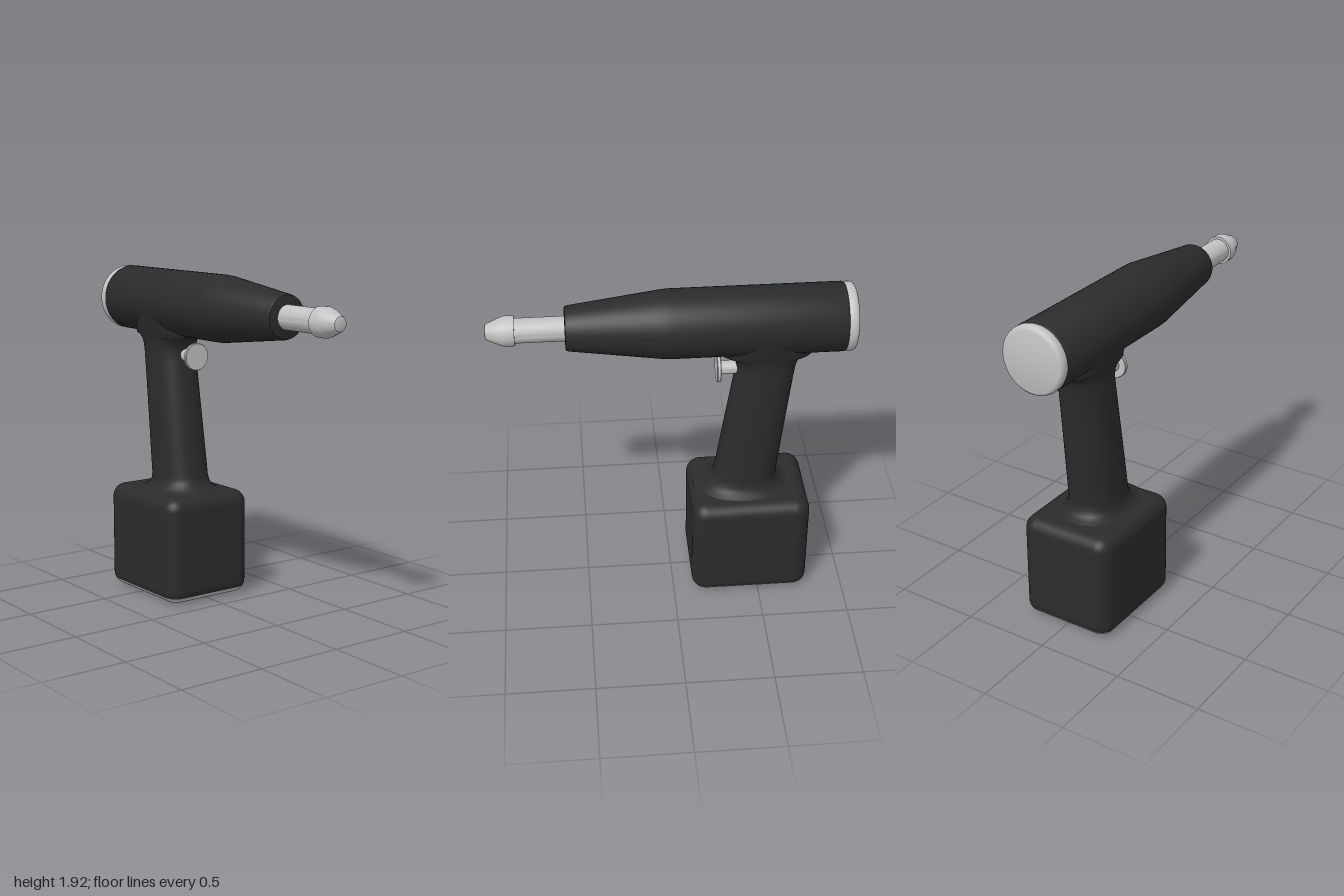
import * as THREE from 'three';
import { toCreasedNormals } from 'three/addons/utils/BufferGeometryUtils.js';

const dark = new THREE.MeshStandardMaterial({ color: 0x2b2b2b });
dark.name = 'charcoal';
const light = new THREE.MeshStandardMaterial({ color: 0xc2c2c2 });
light.name = 'lightGrey';

const AXIS_Y = 1.725;

// Turned part along x; profile is a list of [x, radius]
function turned(name, profile, y, material) {
  const points = profile.map(([x, r]) => new THREE.Vector2(r, x));
  const geometry = toCreasedNormals(new THREE.LatheGeometry(points, 48), 0.6);
  geometry.rotateZ(-Math.PI / 2);
  const mesh = new THREE.Mesh(geometry, material);
  mesh.name = name;
  mesh.position.y = y;
  return mesh;
}

// Smooth skin through rings from bottom to top, each running from +x towards +z
function loft(name, rings, material, capBottom, capTop) {
  const n = rings[0].length;
  const pos = rings.flat(2);
  const index = [];
  for (let i = 0; i < rings.length - 1; i++) {
    for (let j = 0; j < n; j++) {
      const a = i * n + j, b = i * n + (j + 1) % n;
      index.push(a, a + n, b, b, a + n, b + n);
    }
  }
  const cap = (ring, up) => {
    const start = pos.length / 3;
    pos.push(...ring.flat());
    for (let j = 1; j < n - 1; j++) {
      if (up) index.push(start, start + j + 1, start + j);
      else index.push(start, start + j, start + j + 1);
    }
  };
  if (capBottom) cap(rings[0], false);
  if (capTop) cap(rings[rings.length - 1], true);
  const geometry = new THREE.BufferGeometry();
  geometry.setAttribute('position', new THREE.Float32BufferAttribute(pos, 3));
  geometry.setIndex(index);
  geometry.computeVertexNormals();
  const mesh = new THREE.Mesh(geometry, material);
  mesh.name = name;
  return mesh;
}

// Oval handle section between two x limits
function ovalRing([y, x0, x1, halfZ]) {
  const ring = [];
  const power = (v) => Math.sign(v) * Math.abs(v) ** 0.88;
  for (let j = 0; j < 48; j++) {
    const a = (j / 48) * Math.PI * 2;
    ring.push([(x0 + x1) / 2 + power(Math.cos(a)) * (x1 - x0) / 2, y, power(Math.sin(a)) * halfZ]);
  }
  return ring;
}

// Rounded rectangle section of the battery, shrunk by an inset
function batteryRing(y, inset) {
  const ring = [];
  const radius = 0.085, hx = 0.34, hz = 0.283;
  const r = radius - inset;
  for (let c = 0; c < 4; c++) {
    const sx = c === 0 || c === 3 ? 1 : -1;
    const sz = c < 2 ? 1 : -1;
    for (let k = 0; k <= 8; k++) {
      const a = (c + k / 8) * Math.PI / 2;
      ring.push([-0.45 + sx * (hx - radius) + Math.cos(a) * r, y, sz * (hz - radius) + Math.sin(a) * r]);
    }
  }
  return ring;
}

export function createModel() {
  const model = new THREE.Group();
  model.name = 'powerDriver';

  // Barrel with tapered nose
  model.add(turned('barrel', [
    [-0.945, 0], [-0.945, 0.185], [-0.935, 0.191], [0, 0.191], [0.04, 0.189], [0.08, 0.184],
    [0.555, 0.124], [0.568, 0.119], [0.572, 0.108], [0.572, 0],
  ], AXIS_Y, dark));

  // Rear cap with rounded rim
  model.add(turned('rearCap', [
    [-1, 0], [-1, 0.168], [-0.996, 0.178], [-0.988, 0.186], [-0.975, 0.19],
    [-0.955, 0.19], [-0.944, 0.186], [-0.944, 0],
  ], AXIS_Y, light));

  // Drive shaft and bit tip
  model.add(turned('shaft', [[0.56, 0], [0.56, 0.068], [0.85, 0.068], [0.85, 0]], AXIS_Y, light));
  model.add(turned('bitTip', [
    [0.84, 0], [0.84, 0.082], [0.893, 0.083], [0.91, 0.079], [0.985, 0.047],
    [0.996, 0.04], [1, 0.03], [1, 0],
  ], AXIS_Y, light));

  // Trigger stem and button
  model.add(turned('triggerStem', [[-0.45, 0], [-0.45, 0.038], [-0.27, 0.038], [-0.27, 0]], 1.425, light));
  model.add(turned('triggerButton', [
    [-0.275, 0], [-0.275, 0.077], [-0.271, 0.08], [-0.256, 0.08], [-0.252, 0.077], [-0.252, 0],
  ], 1.425, light));

  // Handle flaring into battery and barrel: [y, back x, front x, half depth]
  const sections = [
    [0.61, -0.71, -0.13, 0.225], [0.625, -0.68, -0.16, 0.2], [0.635, -0.655, -0.185, 0.18],
    [0.65, -0.632, -0.215, 0.165], [0.675, -0.615, -0.24, 0.153], [0.71, -0.611, -0.253, 0.148],
    [0.8, -0.621, -0.266, 0.147], [1.1, -0.653, -0.312, 0.141], [1.38, -0.684, -0.355, 0.136],
    [1.44, -0.692, -0.363, 0.135], [1.48, -0.701, -0.357, 0.136], [1.51, -0.72, -0.338, 0.139],
    [1.528, -0.748, -0.308, 0.143], [1.537, -0.785, -0.268, 0.146], [1.58, -0.77, -0.28, 0.16],
    [1.65, -0.74, -0.3, 0.179], [1.7, -0.72, -0.32, 0.186],
  ];
  model.add(loft('handle', sections.map(ovalRing), dark, false, false));

  // Battery block, split into dark casing and light base
  const R = 0.075, SPLIT = 0.038;
  const insetAt = (d) => R - Math.sqrt(Math.max(0, R * R - (R - d) ** 2));
  const base = [], casing = [];
  for (let i = 0; i <= 6; i++) {
    const low = SPLIT * (i / 6) ** 2;
    base.push(batteryRing(low, insetAt(low)));
    const mid = SPLIT + (R - SPLIT) * i / 6;
    casing.push(batteryRing(mid, insetAt(mid)));
  }
  for (let i = 0; i <= 8; i++) {
    const a = (i / 8) * Math.PI / 2;
    casing.push(batteryRing(0.625 - R + Math.sin(a) * R, R * (1 - Math.cos(a))));
  }
  model.add(loft('batteryBase', base, light, true, false));
  model.add(loft('batteryCasing', casing, dark, false, true));

  return model;
}
